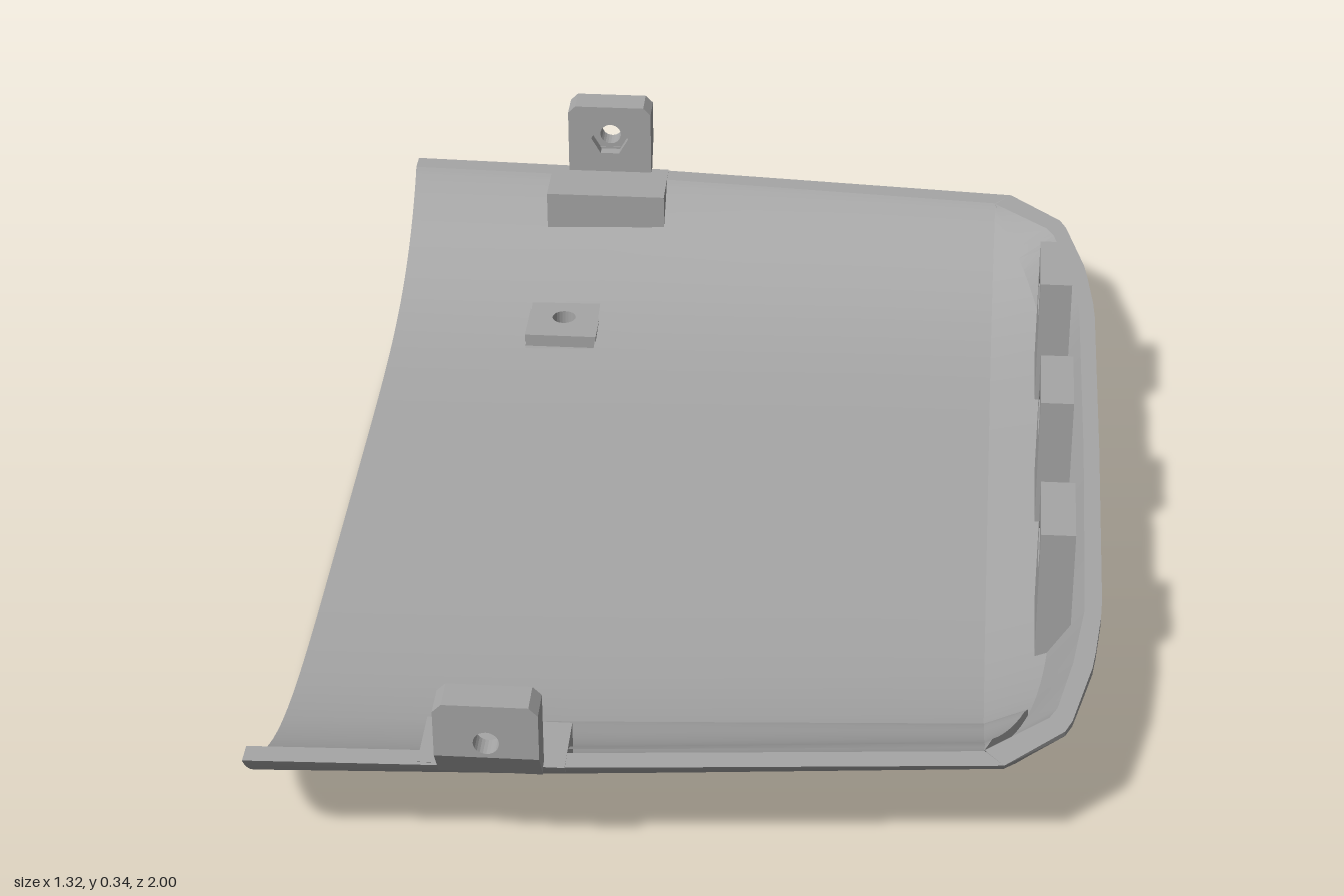
import * as THREE from 'three';
import { toCreasedNormals } from 'three/addons/utils/BufferGeometryUtils.js';

const grey = new THREE.MeshStandardMaterial({ color: 0xa6a6a6, side: THREE.DoubleSide });
grey.name = 'plain grey';
const RIM = 0.205;

// Linear interpolation through [key, value] pairs
function lerpTable(table, k) {
  for (let i = 1; i < table.length; i++) {
    const [k0, v0] = table[i - 1], [k1, v1] = table[i];
    if (k <= k1) return v0 + (v1 - v0) * (k - k0) / (k1 - k0);
  }
  return table[table.length - 1][1];
}

// Bowl-shaped cross-section: u runs -1..1 across the width
const bowl = (u, base) => RIM - (RIM - base) * Math.pow(Math.max(0, 1 - Math.abs(u) ** 5), 0.9);
const halfWidth = x => lerpTable([[-0.66, 0.975], [-0.2, 0.96], [0, 0.945], [0.5, 0.905]], x);
const floorY = x => 0.003 + 0.047 * (x + 0.66) / 1.16;

const outerRow = x => u => [x, bowl(u, floorY(x)), halfWidth(x) * u];
const innerRow = x => u => [x, bowl(u, floorY(x) + 0.018), (halfWidth(x) - 0.037) * u];
const creaseRow = (xMid, xEnd, w, base) => u => [xMid - (xMid - xEnd) * u ** 4, bowl(u, base), w * u];
const rimRow = (table, w, y) => u => [lerpTable(table, Math.abs(w * u)), RIM - (RIM - y) * (1 - u ** 8), w * u];

const outerRim = [[0, 0.657], [0.48, 0.655], [0.63, 0.64], [0.805, 0.6], [0.905, 0.5]];
const innerRim = [[0, 0.63], [0.48, 0.627], [0.63, 0.607], [0.77, 0.578], [0.868, 0.47]];
const innerCrease = creaseRow(0.58, 0.47, 0.868, 0.11);

// Surface through a grid of points, with optional skipped cells
function gridGeometry(rows, skip = () => false) {
  const pos = [];
  for (let i = 0; i + 1 < rows.length; i++) {
    for (let j = 0; j + 1 < rows[i].length; j++) {
      if (skip(i, j)) continue;
      const a = rows[i][j], b = rows[i + 1][j], c = rows[i][j + 1], d = rows[i + 1][j + 1];
      pos.push(...a, ...b, ...c, ...c, ...b, ...d);
    }
  }
  const g = new THREE.BufferGeometry();
  g.setAttribute('position', new THREE.Float32BufferAttribute(pos, 3));
  return toCreasedNormals(g, 0.3);
}

function mesh(name, geometry, parent) {
  const m = new THREE.Mesh(geometry, grey);
  m.name = name;
  parent.add(m);
  return m;
}

// Flat plate from outline points with an optional hole { y, r, sides }
function plate(points, depth, hole) {
  const shape = new THREE.Shape(points.map(p => new THREE.Vector2(...p)));
  if (hole) {
    const ring = [];
    for (let i = 0; i < hole.sides; i++) {
      const a = -i / hole.sides * Math.PI * 2;
      ring.push(new THREE.Vector2(hole.r * Math.cos(a), hole.y + hole.r * Math.sin(a)));
    }
    shape.holes.push(new THREE.Path(ring));
  }
  return new THREE.ExtrudeGeometry(shape, { depth, bevelEnabled: false });
}

// Profile in (z, y) extruded along x, centred on x = 0
const alongX = (points, width) => plate(points, width).rotateY(-Math.PI / 2).translate(width / 2, 0, 0);

const outline = (w, y0, y1, c = 0) => c
  ? [[-w, y0], [w, y0], [w, y1 - c], [w - c, y1], [c - w, y1], [-w, y1 - c]]
  : [[-w, y0], [w, y0], [w, y1], [-w, y1]];

function buildShell(group) {
  const bodyXs = [-0.66, -0.405, -0.275, -0.2, 0, 0.25];
  const us = [];
  for (let i = -24; i <= 24; i++) us.push(Math.sin(i / 24 * Math.PI / 2));
  us.push(0.58, 0.725, -0.58, -0.725);
  us.sort((a, b) => a - b);

  const outer = [...bodyXs, 0.5].map(outerRow);
  const inner = [...bodyXs, 0.47].map(innerRow);
  const loop = [
    ...outer, creaseRow(0.6, 0.5, 0.905, 0.095),
    rimRow(outerRim, 0.905, 0.19), rimRow(outerRim, 0.905, RIM),
    rimRow(innerRim, 0.868, RIM), innerCrease,
    ...inner.slice().reverse(), outer[0],
  ].map(f => us.map(f));

  // Openings where the floor pads sit
  const last = loop.length - 2;
  const skip = (i, j) => {
    const u = Math.abs((us[j] + us[j + 1]) / 2);
    return (i === 1 || i === last - 2) && u > 0.58 && u < 0.725;
  };
  mesh('shell', gridGeometry(loop, skip), group);

  // Flat side rims joining the two skins
  for (const s of [1, -1]) {
    const edges = [inner.map(f => f(s)), outer.map(f => f(s))];
    mesh('sideRim', gridGeometry(s > 0 ? edges : edges.reverse()), group);
  }
}

// Thin raised panel on one inner flank
function buildPanel(group) {
  const xs = [-0.25, -0.1, 0.1, 0.3, 0.47];
  const rows = xs.map(x => [innerRow(x), 0.68 / (halfWidth(x) - 0.037)]);
  rows.push([innerCrease, 0.68 / 0.868]);
  const make = ([f, u0], lift) => {
    const row = [f(u0)];
    for (let k = 0; k <= 8; k++) {
      const [x, y, z] = f(u0 + (1 - u0) * k / 8);
      row.push([x, Math.min(RIM, y + lift), z - (k ? lift * 0.8 : 0)]);
    }
    return row;
  };
  const end = rows[rows.length - 1];
  const grid = [make(rows[0], 0), ...rows.map(r => make(r, 0.012)), make(end, 0)].reverse();
  mesh('innerPanel', gridGeometry(grid), group);
}

export function createModel() {
  const group = new THREE.Group();
  group.name = 'curvedCover';
  buildShell(group);
  buildPanel(group);

  // Three upright tabs along the nose, with hexagonal pockets on the inner face
  for (const z of [-0.4, 0, 0.4]) {
    const tab = new THREE.Group();
    tab.name = 'noseTab';
    tab.position.set(0.55, 0, z);
    tab.rotation.y = Math.PI / 2;
    const shape = outline(0.078, 0.105, 0.345);
    mesh('noseTabPocket', plate(shape, 0.025, { y: 0.278, r: 0.042, sides: 6 }), tab);
    mesh('noseTabFace', plate(shape, 0.031, { y: 0.278, r: 0.022, sides: 24 }), tab).position.z = 0.025;
    group.add(tab);
  }

  for (const side of [1, -1]) {
    // Side tab on a wedge, standing on a block inside the rim
    const mount = new THREE.Group();
    mount.name = 'sideMount';
    mount.position.x = -0.28;
    mount.rotation.y = side > 0 ? 0 : Math.PI;
    mesh('sideTabPocket', plate(outline(0.08, 0.2, 0.345, 0.014), 0.02,
      { y: 0.277, r: 0.036, sides: 6 }), mount).position.z = 0.945;
    mesh('sideTabFace', plate(outline(0.08, 0.25, 0.345, 0.014), 0.035,
      { y: 0.277, r: 0.02, sides: 24 }), mount).position.z = 0.965;
    mesh('sideTabWedge', alongX([[0.964, 0.195], [1, 0.25], [0.964, 0.25]], 0.16), mount);
    mesh('sideBlock', alongX([[0.845, 0.206], [0.845, 0.12], [0.945, 0.187], [0.96, 0.206]], 0.226), mount);
    group.add(mount);

    // Flat floor pad with a screw hole, and the lip closing its opening
    const pad = mesh('floorPad', plate(outline(0.067, -0.07, 0.07), 0.032, { y: 0, r: 0.022, sides: 24 }), group);
    pad.rotation.x = -Math.PI / 2;
    pad.position.set(-0.34, 0.027, side * 0.63);
    const lip = mesh('padLip', new THREE.BoxGeometry(0.132, 0.016, 0.026), group);
    lip.position.set(-0.34, 0.027, side * 0.549);
  }
  return group;
}
